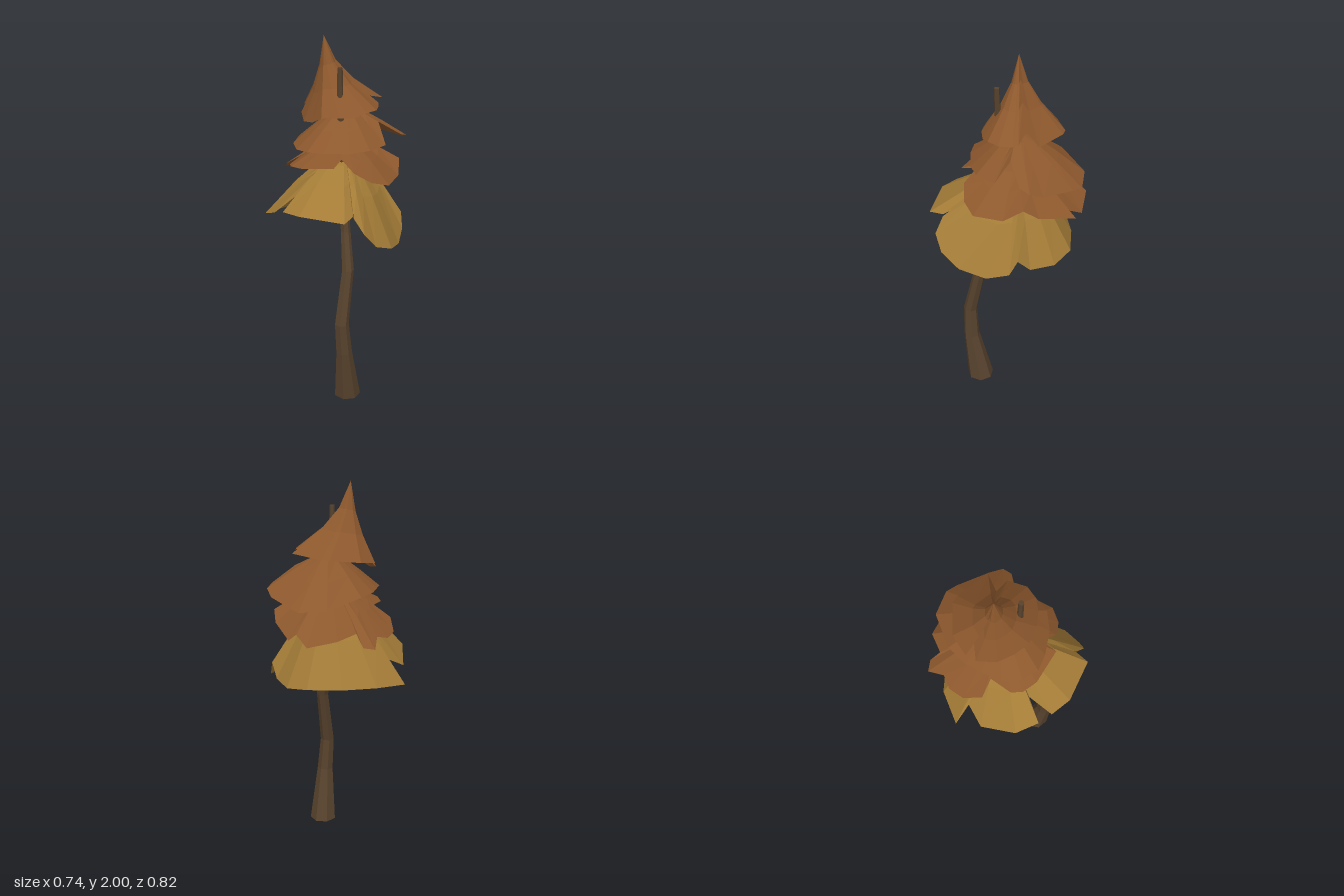
import * as THREE from 'three';

const mat = (name, color) => new THREE.MeshStandardMaterial({ name, color, flatShading: true, side: THREE.DoubleSide });

// Joins rings of points (bottom to top, counter-clockwise from above) into faceted faces
function loft(rings) {
  const out = [];
  const tri = (a, b, c) => {
    const n = b.clone().sub(a).cross(c.clone().sub(a));
    if (n.length() > 1e-9) for (const p of [a, b, c]) out.push(p.x, p.y, p.z);
  };
  for (let i = 0; i < rings.length - 1; i++) {
    const lo = rings[i], hi = rings[i + 1], n = lo.length;
    for (let j = 0; j < n; j++) {
      const k = (j + 1) % n;
      tri(lo[j], lo[k], hi[k]);
      tri(lo[j], hi[k], hi[j]);
    }
  }
  const g = new THREE.BufferGeometry();
  g.setAttribute('position', new THREE.Float32BufferAttribute(out, 3));
  g.computeVertexNormals();
  return g;
}

// Ragged skirt of leaves: each profile pair is [share of radius, share of drop]
function skirt(apex, profile, rim) {
  const top = new THREE.Vector3(...apex);
  const edge = rim.map(p => new THREE.Vector3(...p));
  const rings = [[1, 1], ...profile, [0, 0]].map(([r, d]) => edge.map(p => new THREE.Vector3(
    top.x + (p.x - top.x) * r, top.y + (p.y - top.y) * d, top.z + (p.z - top.z) * r)));
  return loft(rings);
}

// Crooked seven-sided trunk: each row is x, y, z, radius
function trunk(rows, sides = 7) {
  return loft(rows.map(([x, y, z, r]) => Array.from({ length: sides }, (_, j) => {
    const a = (j / sides) * Math.PI * 2;
    return new THREE.Vector3(x + r * Math.cos(a), y, z - r * Math.sin(a));
  })));
}

export function createModel() {
  const group = new THREE.Group();
  const bark = mat('bark', 0x57422d);
  const gold = mat('goldenLeaves', 0xa47c37);
  const rust = mat('rustLeaves', 0x8d582d);
  const add = (name, geometry, material) => {
    const m = new THREE.Mesh(geometry, material);
    m.name = name;
    group.add(m);
  };

  add('trunk', trunk([
    [0.07, 0, 0.16, 0], [0.07, 0, 0.16, 0.074], [0.053, 0.3, 0.207, 0.045],
    [0.04, 0.48, 0.21, 0.039], [0.07, 0.78, 0.15, 0.033], [0.055, 0.98, 0.09, 0.027],
    [0.04, 1.2, 0.055, 0.024], [0.034, 1.4, 0.035, 0.021], [0.028, 1.55, 0.03, 0.019],
    [0.022, 1.7, 0.047, 0.017], [0.022, 1.86, 0.052, 0.014], [0.022, 1.86, 0.052, 0],
  ]), bark);

  add('lowestLeaves', skirt([0.04, 1.38, -0.05], [[0.6, 0.43], [0.32, 0.13]], [
    [0.36, 0.96, 0], [0.352, 1.04, -0.045], [0.33, 0.97, -0.11], [0.28, 0.96, -0.24],
    [0.18, 0.98, -0.33], [0, 0.98, -0.35], [-0.18, 0.98, -0.33], [-0.34, 0.96, -0.23],
    [-0.26, 1.08, -0.17], [-0.35, 1.02, -0.09], [-0.37, 1.08, 0.1], [-0.31, 1.13, 0.21],
    [-0.2, 1.2, 0.14], [-0.26, 1.16, 0.27], [-0.17, 1.17, 0.35], [0.06, 1.16, 0.41],
    [0.1, 1.17, 0.34], [0.1, 1.26, 0.17], [0.105, 1.16, 0.34], [0.16, 1.09, 0.38],
    [0.22, 1.01, 0.35], [0.3, 0.96, 0.26], [0.34, 0.925, 0.12],
  ]), gold);

  add('lowerLeaves', skirt([0.04, 1.47, -0.05], [[0.62, 0.5], [0.3, 0.15]], [
    [0.33, 1.28, 0.03], [0.335, 1.34, -0.07], [0.33, 1.29, -0.15], [0.27, 1.25, -0.34],
    [0.23, 1.27, -0.31], [0.18, 1.22, -0.38], [0.03, 1.26, -0.415], [-0.07, 1.28, -0.35],
    [-0.1, 1.22, -0.4], [-0.16, 1.21, -0.4], [-0.18, 1.25, -0.31], [-0.24, 1.23, -0.27],
    [-0.28, 1.24, -0.19], [-0.275, 1.29, -0.09], [-0.19, 1.35, -0.06], [-0.24, 1.34, 0.05],
    [-0.23, 1.35, 0.11], [-0.17, 1.36, 0.17], [0, 1.39, 0.24], [0.035, 1.41, 0.16],
    [0.1, 1.36, 0.225], [0.19, 1.31, 0.225], [0.28, 1.28, 0.18],
  ]), rust);

  add('upperLeaves', skirt([0.05, 1.63, -0.05], [[0.6, 0.5], [0.25, 0.1]], [
    [0.22, 1.56, -0.01], [0.34, 1.48, -0.05], [0.37, 1.46, -0.1], [0.35, 1.43, -0.17],
    [0.26, 1.41, -0.32], [0.22, 1.4, -0.37], [0.08, 1.41, -0.395], [-0.1, 1.45, -0.29],
    [-0.17, 1.45, -0.19], [-0.2, 1.45, -0.1], [-0.225, 1.44, 0], [-0.2, 1.44, 0.1],
    [-0.14, 1.45, 0.17], [-0.05, 1.45, 0.19], [0.08, 1.45, 0.19], [0.18, 1.46, 0.16],
    [0.26, 1.46, 0.07],
  ]), rust);

  add('crownLeaves', skirt([-0.065, 2, -0.06], [[0.5, 0.67], [0.2, 0.38]], [
    [0.22, 1.64, -0.02], [0.22, 1.65, -0.05], [0.14, 1.68, -0.09], [0.24, 1.65, -0.15],
    [0.1, 1.64, -0.275], [0.06, 1.64, -0.29], [-0.1, 1.62, -0.26], [-0.18, 1.6, -0.18],
    [-0.12, 1.65, -0.15], [-0.19, 1.57, -0.13], [-0.17, 1.55, -0.03], [-0.12, 1.57, 0.05],
    [-0.07, 1.61, 0.11], [0.02, 1.62, 0.13], [0.1, 1.62, 0.125], [0.16, 1.64, 0.1],
    [0.21, 1.64, 0.05],
  ]), rust);

  return group;
}
